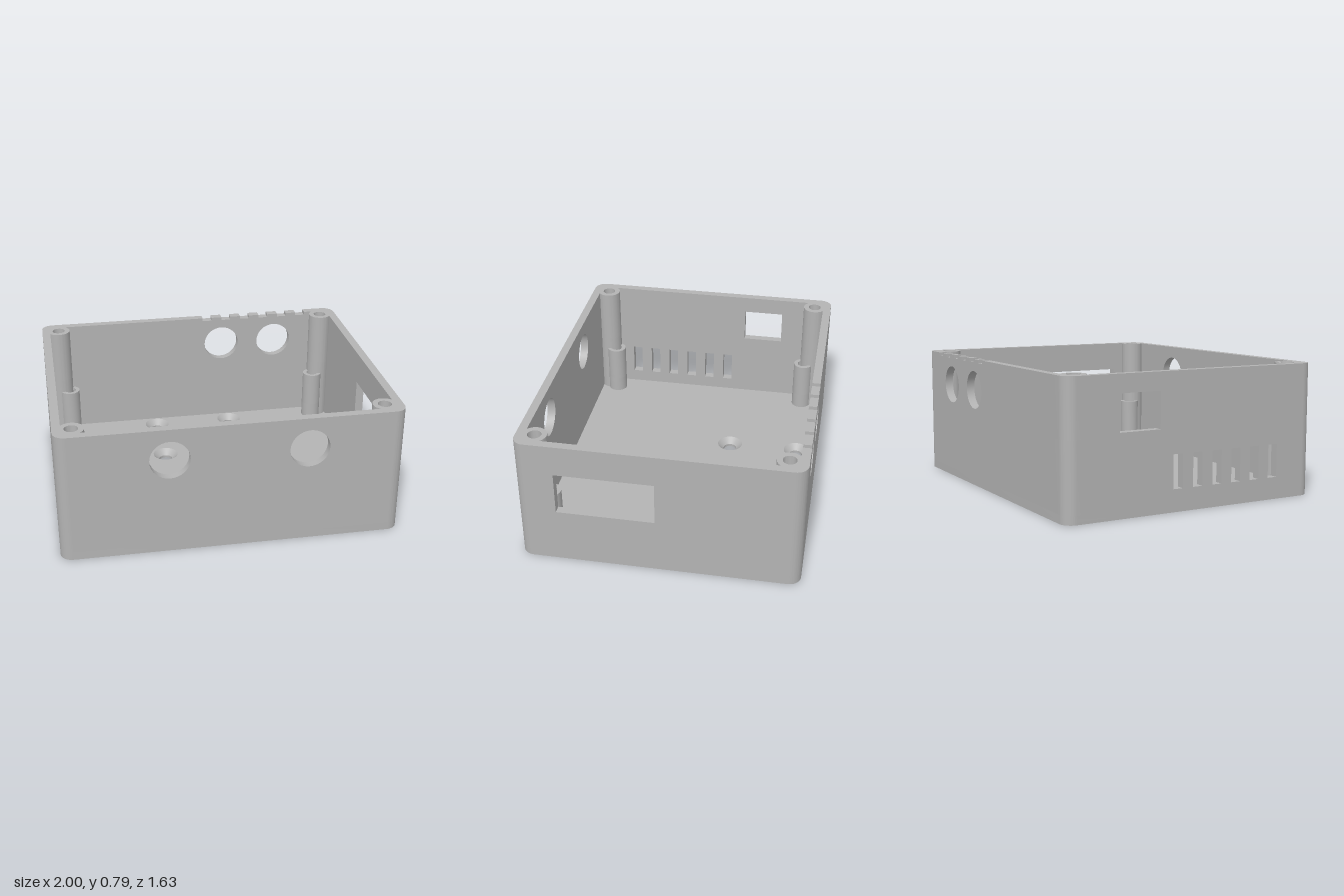
import * as THREE from 'three';
import { toCreasedNormals } from 'three/addons/utils/BufferGeometryUtils.js';

const W = 1, D = 0.817, H = 0.785;   // half width, half depth, height
const T = 0.05;                      // wall and floor thickness
const R = 0.07;                      // outer corner radius
const POST = 0.151;                  // corner post reach along each wall
const BOSS = 0.107, STANDOFF = 0.156; // inset of screw boss and board standoff

const grey = new THREE.MeshStandardMaterial({ color: 0xb3b3b3 });
grey.name = 'grey plastic';

const circle = (x, y, r) => new THREE.Path().absarc(x, y, r, 0, Math.PI * 2, true);

const rect = (x0, y0, x1, y1) => new THREE.Path([
  [x0, y0], [x0, y1], [x1, y1], [x1, y0], [x0, y0],
].map(([x, y]) => new THREE.Vector2(x, y)));

function extrude(shape, depth) {
  const g = new THREE.ExtrudeGeometry(shape, { depth, bevelEnabled: false, curveSegments: 16 });
  return toCreasedNormals(g, 0.6);
}

// Plan shape extruded upward from y0 to y1 (shape y is -z)
function slab(shape, y0, y1) {
  return extrude(shape, y1 - y0).rotateX(-Math.PI / 2).translate(0, y0, 0);
}

function add(parent, name, geometry) {
  const mesh = new THREE.Mesh(geometry, grey);
  mesh.name = name;
  parent.add(mesh);
  return mesh;
}

// Upright wall panel with openings and optional notches [x0, x1] in its top edge
function wall(half, holes, notches = [], depth = 0.02) {
  const s = new THREE.Shape();
  s.moveTo(-half, T).lineTo(half, T).lineTo(half, H);
  for (const [x0, x1] of notches) {
    s.lineTo(x1, H).lineTo(x1, H - depth).lineTo(x0, H - depth).lineTo(x0, H);
  }
  s.lineTo(-half, H).closePath();
  s.holes.push(...holes);
  return extrude(s, T);
}

function floorShape(holes, r) {
  const s = new THREE.Shape();
  s.absarc(W - R, D - R, R, 0, Math.PI / 2);
  s.absarc(R - W, D - R, R, Math.PI / 2, Math.PI);
  s.absarc(R - W, R - D, R, Math.PI, Math.PI * 1.5);
  s.absarc(W - R, R - D, R, Math.PI * 1.5, Math.PI * 2);
  s.closePath();
  for (const [x, z] of holes) s.holes.push(circle(x, -z, r));
  return s;
}

// Rounded outer corner merged with a screw boss; outer corner at the origin
function postShape(holeRadius) {
  const dx = POST - BOSS, dy = BOSS - T, r = Math.hypot(dx, dy);
  const s = new THREE.Shape();
  s.absarc(-BOSS, -BOSS, r, Math.atan2(dy, -dx), Math.atan2(-dx, dy) + Math.PI * 2);
  s.lineTo(0, -POST);
  s.absarc(-R, -R, R, 0, Math.PI / 2);
  s.lineTo(-POST, 0);
  s.closePath();
  if (holeRadius) s.holes.push(circle(-BOSS, -BOSS, holeRadius));
  return s;
}

function standoffShape(holeRadius) {
  const s = new THREE.Shape();
  s.absarc(-STANDOFF, -STANDOFF, 0.062, 0, Math.PI * 2);
  if (holeRadius) s.holes.push(circle(-STANDOFF, -STANDOFF, holeRadius));
  return s;
}

export function createModel() {
  const box = new THREE.Group();
  box.name = 'enclosure';

  // Floor with four countersunk holes
  const screws = [[-0.255, -0.68], [0.255, -0.68], [-0.255, -0.24], [0.255, -0.24]];
  const step = 0.015;
  add(box, 'floorLower', slab(floorShape(screws, 0.042), 0, step));
  add(box, 'floorUpper', slab(floorShape(screws, 0.08), step, T));
  for (const [x, z] of screws) {
    const cone = new THREE.LatheGeometry(
      [new THREE.Vector2(0.08, T), new THREE.Vector2(0.042, step)], 32);
    add(box, 'countersink', cone).position.set(x, 0, z);
  }

  // Six evenly spaced slots, as [start, end] pairs
  const slots = (start) => Array.from({ length: 6 }, (_, i) => [start + i * 0.13, start + i * 0.13 + 0.062]);

  // Front and back walls with round cable openings
  const holeY = 0.595, holeR = 0.116;
  add(box, 'frontWall', wall(W - POST,
    [-0.365, 0.435].map((x) => circle(x, holeY, holeR)))).position.z = D - T;
  add(box, 'backWall', wall(W - POST,
    [0.215, 0.58].map((x) => circle(x, holeY, holeR)),
    slots(0.085).reverse())).position.z = -D;

  // Side walls: wide window on one, small window and vent slots on the other
  const leftWall = add(box, 'leftWall', wall(D - POST, [rect(0.016, 0.337, 0.588, 0.597)]));
  leftWall.rotation.y = -Math.PI / 2;
  leftWall.position.x = W;
  const vents = slots(-0.15).map(([a, b]) => rect(a, 0.13, b, 0.325));
  const rightWall = add(box, 'rightWall', wall(D - POST, [rect(-0.49, 0.47, -0.235, 0.68), ...vents]));
  rightWall.rotation.y = -Math.PI / 2;
  rightWall.position.x = T - W;

  // Corner posts with screw holes, each with a shorter board standoff
  [[1, -1], [-1, -1], [-1, 1], [1, 1]].forEach(([sx, sz], k) => {
    const corner = new THREE.Group();
    corner.name = 'corner';
    corner.position.set(sx * W, 0, sz * D);
    corner.rotation.y = k * Math.PI / 2;
    add(corner, 'postBase', slab(postShape(0), T, 0.45));
    add(corner, 'postTop', slab(postShape(0.04), 0.45, H));
    add(corner, 'standoffBase', slab(standoffShape(0), T, 0.15));
    add(corner, 'standoffTop', slab(standoffShape(0.037), 0.15, 0.37));
    box.add(corner);
  });

  return box;
}
